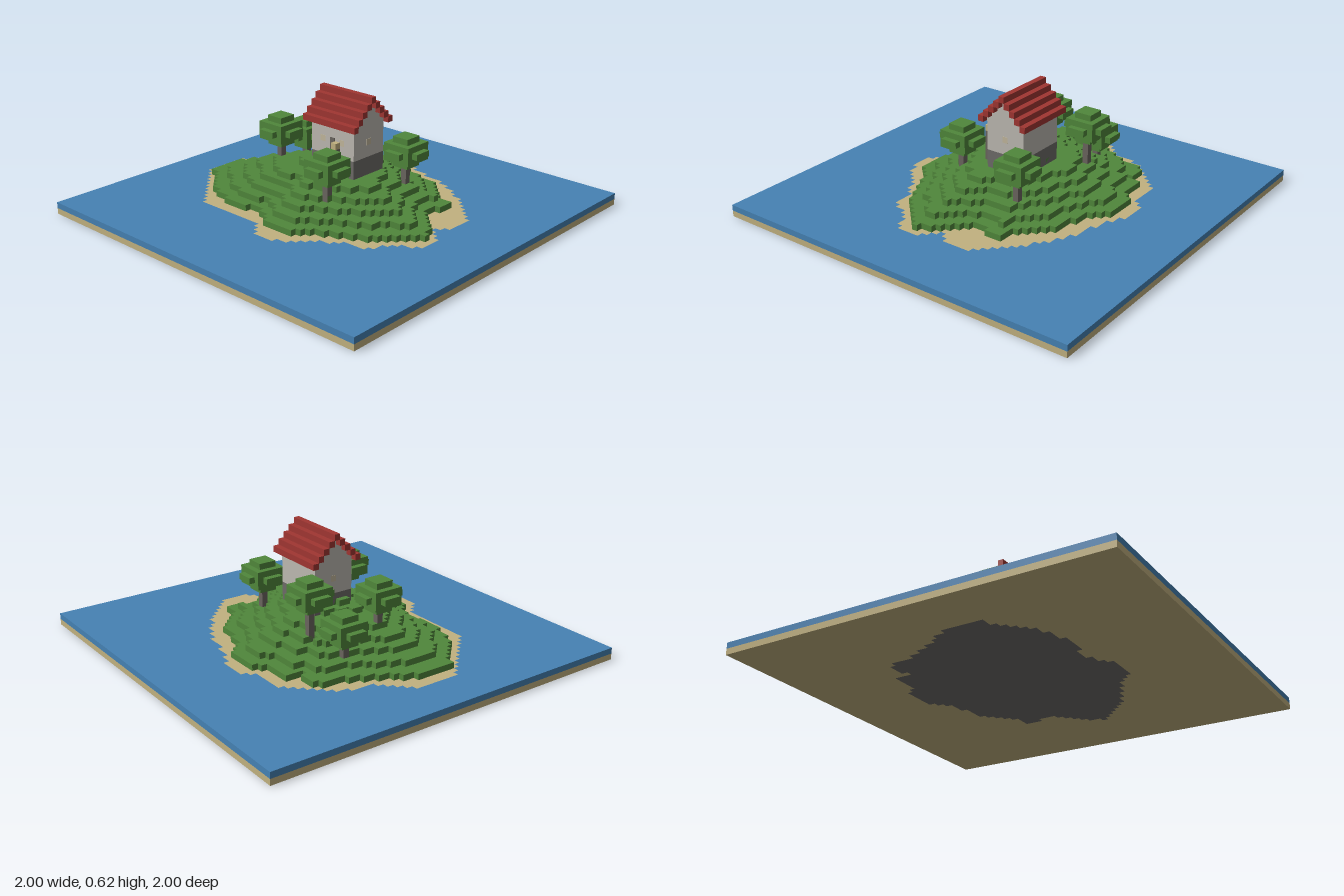
import * as THREE from 'three';
import { mergeGeometries } from 'three/addons/utils/BufferGeometryUtils.js';

const N = 64, V = 2 / N; // grid cells per side, cell size

const mat = (name, color) => {
  const m = new THREE.MeshStandardMaterial({ color });
  m.name = name;
  return m;
};

// Box covering cells x0..x1, y0..y1, z0..z1 (upper ends excluded)
function block(x0, x1, y0, y1, z0, z1) {
  const g = new THREE.BoxGeometry((x1 - x0) * V, (y1 - y0) * V, (z1 - z0) * V);
  return g.translate((x0 + x1) * V / 2 - 1, (y0 + y1) * V / 2, (z0 + z1) * V / 2 - 1);
}

// Fill one layer with runs of cells that pass the test
function layer(y, test) {
  const out = [];
  for (let z = 0; z < N; z++) {
    let start = -1;
    for (let x = 0; x <= N; x++) {
      const inside = x < N && test(x, z);
      if (inside && start < 0) start = x;
      if (!inside && start >= 0) {
        out.push(block(start, x, y, y + 1, z, z + 1));
        start = -1;
      }
    }
  }
  return out;
}

// Test for cells inside an outline (x, z in hundredths) shrunk about the hilltop
function within(p, scale = 1, cx = -4, cz = 0) {
  return (col, row) => {
    const x = cx + (((col + 0.5) * V - 1) * 100 - cx) / scale;
    const z = cz + (((row + 0.5) * V - 1) * 100 - cz) / scale;
    let hit = false;
    for (let i = 0, j = p.length - 2; i < p.length; j = i, i += 2) {
      if ((p[i + 1] > z) !== (p[j + 1] > z) &&
        x < (p[j] - p[i]) * (z - p[i + 1]) / (p[j + 1] - p[i + 1]) + p[i]) hit = !hit;
    }
    return hit;
  };
}

const beachOutline = [
  -16, -62.5, -6, -62.5, 6, -56, 22, -53, 44, -41, 59, -28, 66, -19, 66, -9, 59, -1,
  69, 6, 69, 19, 56, 25, 50, 38, 38, 38, 12, 59.4, 3, 59.4, -9, 50, -44, 50,
  -66, 28, -78, 19, -78, -3, -62, -22, -62, -31, -41, -56, -25, -56];

const shoreOutline = [
  -19, -56, -3, -56, 10, -46, 25, -44, 43, -28, 50, -28, 47, -12, 65, 9, 65, 13, 53, 22,
  50, 28, 25, 41, 12, 50, -3, 50, -6, 44, -16, 41, -34, 44, -50, 38, -72, 19, -72, 3,
  -55, -26, -53, -38, -47, -44, -38, -41, -38, -50, -22, -50];

export function createModel() {
  const root = new THREE.Group();
  root.name = 'island';
  const sand = mat('sand', 0xc2b280), water = mat('water', 0x4682b4), green = mat('green', 0x50873b);
  const stone = mat('stone', 0x6e6b68), wall = mat('wall', 0xbdb9b1), red = mat('roofRed', 0xa03632);
  const bark = mat('bark', 0x6b655f), pane = mat('pane', 0xc2b79c);
  const add = (name, parts, material, parent = root) => {
    const mesh = new THREE.Mesh(mergeGeometries(parts), material);
    mesh.name = name;
    parent.add(mesh);
  };

  // Sea bed, bedrock, sea and beach
  const onBeach = within(beachOutline), onLand = within(shoreOutline);
  add('seaBed', layer(0, (x, z) => !onLand(x, z)), sand);
  add('bedrock', layer(0, onLand), stone);
  add('sea', layer(1, (x, z) => !onBeach(x, z)), water);
  add('beach', layer(1, onBeach), sand);

  // Stepped hill, each step a smaller copy of the shore
  [1, 0.865, 0.73, 0.61, 0.48, 0.26, 0.17].forEach((scale, i) =>
    add('hillStep' + (i + 1), layer(i + 2, within(shoreOutline, scale)), green));

  // House: stone base, walls and stepped gables
  const house = new THREE.Group();
  house.name = 'house';
  root.add(house);
  add('houseBase', [block(28, 37, 6, 10, 27, 34)], stone, house);
  const walls = [block(28, 37, 10, 16, 27, 34)];
  for (let i = 1; i < 4; i++) walls.push(block(28, 37, 15 + i, 16 + i, 27 + i, 34 - i));
  add('walls', walls, wall, house);

  // Roof rows climbing from both eaves to the ridge
  const rows = [block(27, 38, 19, 20, 30, 31)];
  for (let i = 0; i < 4; i++) {
    rows.push(block(27, 38, 15 + i, 16 + i, 26 + i, 27 + i));
    rows.push(block(27, 38, 15 + i, 16 + i, 34 - i, 35 - i));
  }
  add('roof', rows, red, house);

  // Door and windows as thin plates
  const t = 0.06;
  add('door', [block(32, 33, 10, 13, 34, 34 + t)], bark, house);
  const windows = [block(28 - t, 28, 12, 13, 30, 31), block(37, 37 + t, 12, 13, 30, 31)];
  for (const x of [30, 34]) windows.push(block(x, x + 1, 12, 13, 34, 34 + t));
  add('windows', windows, pane, house);

  // Lantern beside the door
  add('lanternPost', [block(34, 35, 6, 12, 35, 36)], bark);
  add('lantern', [block(34, 35, 12, 13, 35, 36)], sand);

  // Trees: column, row, crown centre height, trunk foot
  const trees = [[18, 25, 8, 4], [24, 23, 12, 5], [20, 33, 11, 5], [40, 25, 10, 4], [36, 39, 10, 4]];
  for (const [x, z, y, foot] of trees) {
    const tree = new THREE.Group();
    tree.name = 'tree';
    root.add(tree);
    add('trunk', [block(x, x + 1, foot, y, z, z + 1)], bark, tree);
    const crown = [];
    for (let d = -2; d <= 2; d++) {
      crown.push(...layer(y + d, (cx, cz) => (cx - x) ** 2 + (cz - z) ** 2 + 1.6 * d * d <= 10));
    }
    add('crown', crown, green, tree);
  }
  return root;
}
